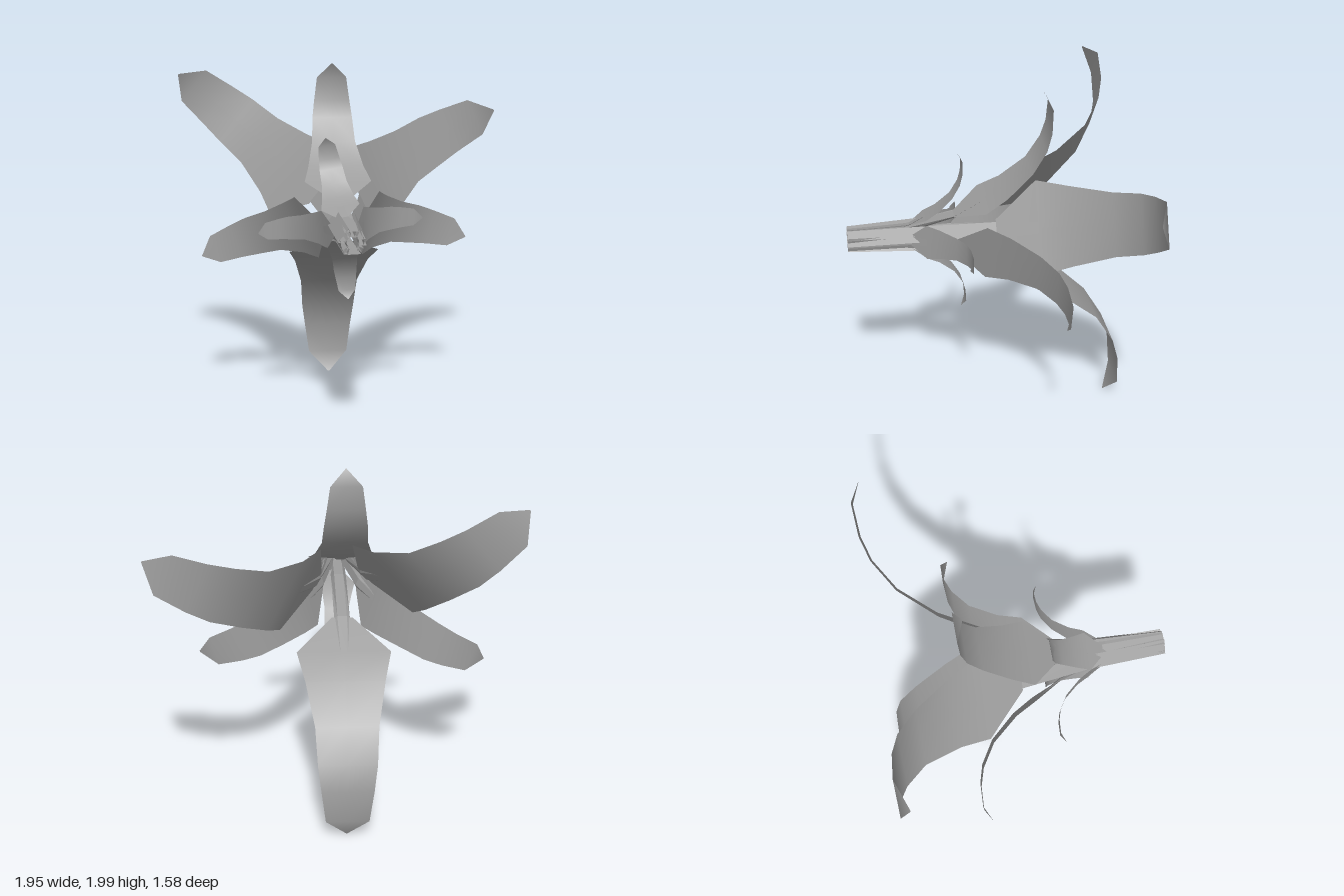
import * as THREE from 'three';

const material = new THREE.MeshStandardMaterial({ color: 0x9c9c9c, side: THREE.DoubleSide });
const FRONT = 0.79;

// Blade stations of the largest petal: [distance from stem end, radius, half width]
const BLADE = [
  [0.83, 0.16, 0.06], [1.05, 0.27, 0.265], [1.22, 0.365, 0.222], [1.42, 0.54, 0.175],
  [1.53, 0.72, 0.163], [1.57, 0.86, 0.145], [1.58, 1.045, 0.12], [1.52, 1.163, 0.004],
];

// Skin a list of equally long cross-sections
function loft(sections, closed) {
  const n = sections[0].length, index = [];
  for (let i = 0; i < sections.length - 1; i++) {
    for (let j = 0; j < (closed ? n : n - 1); j++) {
      const a = i * n + j, b = i * n + (j + 1) % n;
      index.push(a, b, a + n, b, b + n, a + n);
    }
  }
  const geometry = new THREE.BufferGeometry();
  geometry.setAttribute('position', new THREE.Float32BufferAttribute(sections.flat(2), 3));
  geometry.setIndex(index);
  geometry.computeVertexNormals();
  return geometry;
}

function makePetal(name, { radial, axial, half }, degrees) {
  const petal = new THREE.Group();
  petal.name = name;

  // Curved blade, flat across its width
  const rows = BLADE.map(([d, r, w]) =>
    [-1, 0, 1].map(side => [side * w * radial, r * radial, FRONT - d * axial]));
  const blade = new THREE.Mesh(loft(rows, false), material);
  blade.name = 'blade';

  // Narrow stalk in the shared stem, thinning out against the outside of the blade
  const stations = [
    [0, 0.06, half, 0.03],
    [0.45, Math.max(0.064, 0.085 * radial), half, 0.03],
    [0.83, Math.max(0.068, 0.163 * radial), half, 0.012],
    [1.05, 0.27 * radial + 0.003, half * 0.7, 0.003],
  ];
  const rings = stations.map(([d, r, w, thickness]) => {
    const z = FRONT - d * axial, inner = r - thickness;
    return [[-w, r, z], [w, r, z], [w * 0.6, inner, z], [-w * 0.6, inner, z]];
  });
  const stalkGeometry = loft(rings, true).toNonIndexed();
  stalkGeometry.computeVertexNormals();
  const stalk = new THREE.Mesh(stalkGeometry, material);
  stalk.name = 'stalk';

  petal.add(blade, stalk);
  petal.rotation.z = THREE.MathUtils.degToRad(degrees - 90);
  return petal;
}

export function createModel() {
  const flower = new THREE.Group();
  flower.name = 'flower';
  flower.position.set(-0.078, 1.165, 0);

  // Three tiers of petals, each with its own size and directions
  const tiers = [
    { name: 'largePetal', radial: 1, axial: 1, half: 0.045, angles: [25.5, 140.5, 270.5] },
    { name: 'middlePetal', radial: 0.715, axial: 0.73, half: 0.038, angles: [90, 201, 345] },
    { name: 'smallPetal', radial: 0.4, axial: 0.42, half: 0.03, angles: [0, 100, 189, 275.5] },
  ];
  for (const tier of tiers) {
    tier.angles.forEach((angle, i) => flower.add(makePetal(tier.name + (i + 1), tier, angle)));
  }

  const model = new THREE.Group();
  model.name = 'flowerModel';
  model.add(flower);
  return model;
}
